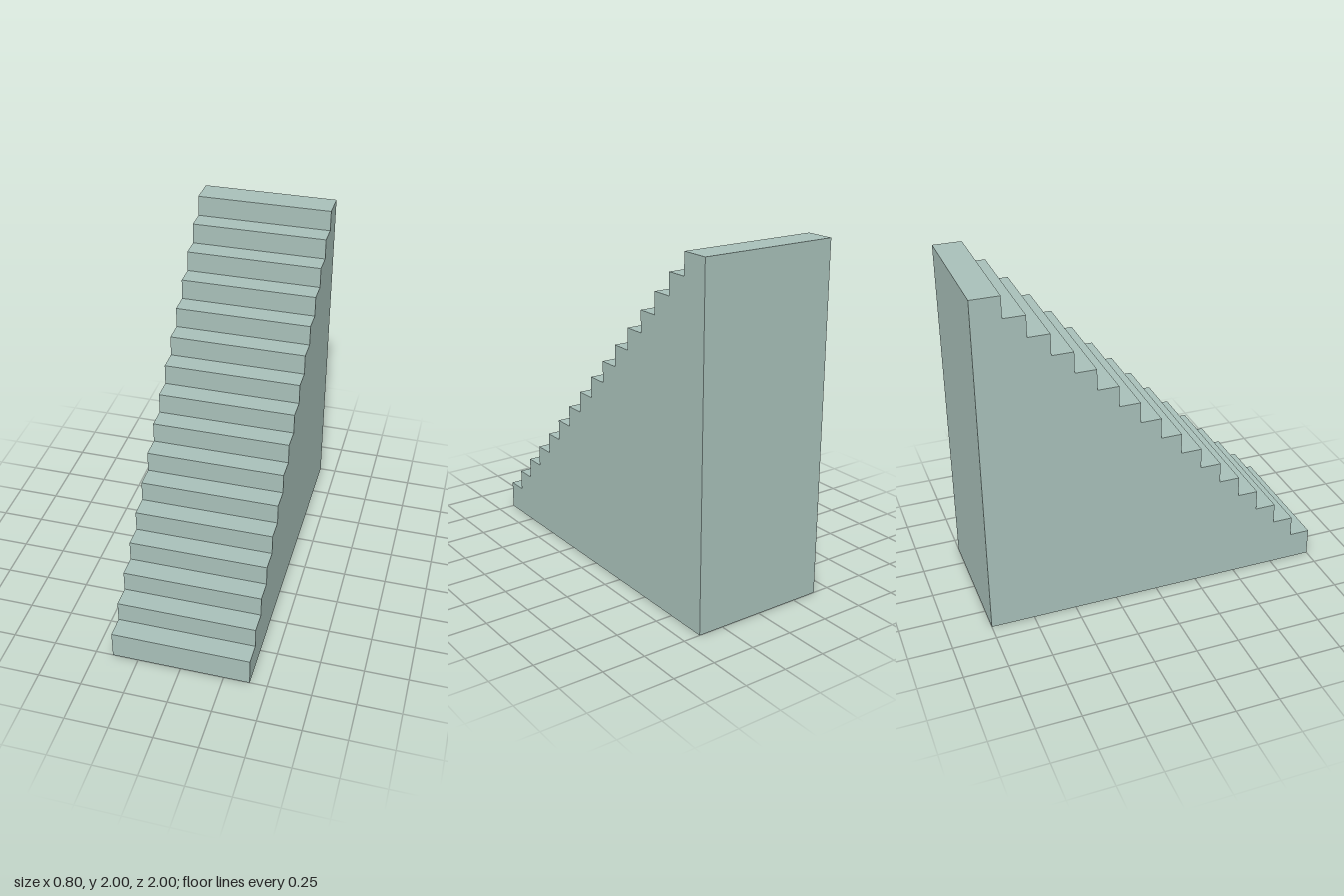
import * as THREE from 'three';

const STEPS = 16;
const WIDTH = 0.8;
const FIRST = 0.1633; // first riser height and top landing depth
const PITCH = (2 - FIRST) / (STEPS - 1); // rise and run of the other steps

// Side outline of the solid stair: x is depth (front at +1), y is height
function stairProfile() {
  const shape = new THREE.Shape();
  shape.moveTo(-1, 0);
  shape.lineTo(1, 0);
  for (let i = 0; i < STEPS; i++) {
    const top = FIRST + i * PITCH;
    const back = i === STEPS - 1 ? -1 : 1 - (i + 1) * PITCH;
    shape.lineTo(1 - i * PITCH, top); // riser
    shape.lineTo(back, top); // tread
  }
  shape.closePath();
  return shape;
}

export function createModel() {
  const group = new THREE.Group();
  group.name = 'staircase';

  const paint = new THREE.MeshStandardMaterial({ color: 0xa8c0b9 });
  paint.name = 'sage grey';

  // Solid flight of steps, turned so the profile's depth runs along z
  const geometry = new THREE.ExtrudeGeometry(stairProfile(), { depth: WIDTH, bevelEnabled: false });
  geometry.rotateY(-Math.PI / 2);
  geometry.translate(WIDTH / 2, 0, 0);

  const stairs = new THREE.Mesh(geometry, paint);
  stairs.name = 'stairFlight';
  group.add(stairs);
  return group;
}
